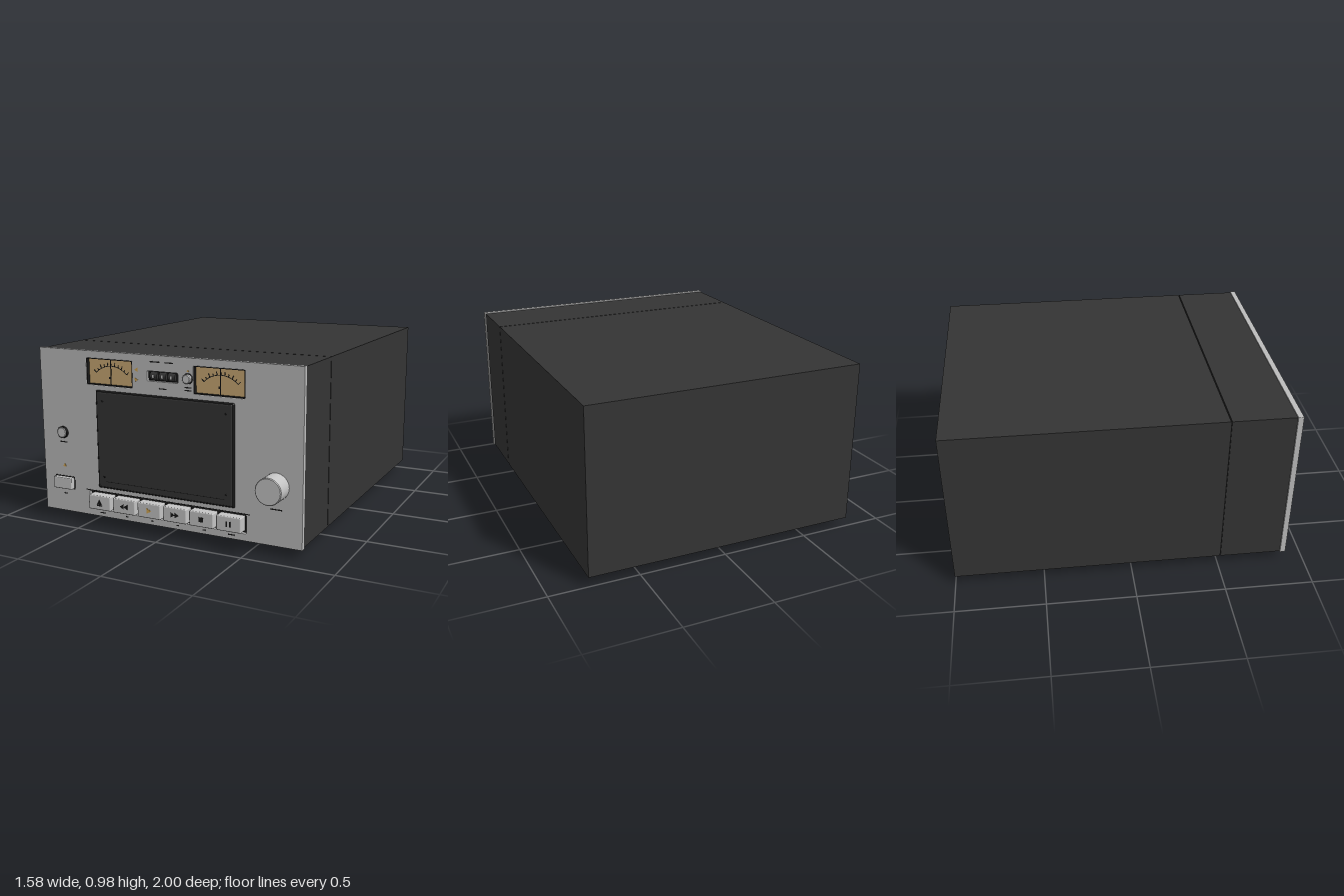
import * as THREE from 'three';
import { RoundedBoxGeometry } from 'three/addons/geometries/RoundedBoxGeometry.js';

const mat = (name, color) => Object.assign(new THREE.MeshStandardMaterial({ color }), { name });

export function createModel() {
  const model = new THREE.Group();
  model.name = 'cassetteDeck';
  const M = {
    charcoal: mat('charcoal casing', 0x343434),
    black: mat('black trim', 0x181818),
    silver: mat('brushed silver', 0xbcbcbc),
    button: mat('light silver', 0xc4c4c4),
    tan: mat('meter tan', 0xc9a974),
    amber: mat('amber', 0xd2a550),
  };
  const FRONT = 0.897; // face of the front panel

  // --- helpers ---
  const add = (name, geo, m, x = 0, y = 0, z = 0, parent = model) => {
    const mesh = new THREE.Mesh(geo, m);
    mesh.name = name;
    mesh.position.set(x, y, z);
    parent.add(mesh);
    return mesh;
  };
  const box = (name, m, x0, x1, y0, y1, z0, z1, parent) =>
    add(name, new THREE.BoxGeometry(x1 - x0, y1 - y0, z1 - z0), m,
      (x0 + x1) / 2, (y0 + y1) / 2, (z0 + z1) / 2, parent);
  const rounded = (name, m, x0, x1, y0, y1, z0, z1, r) =>
    add(name, new RoundedBoxGeometry(x1 - x0, y1 - y0, z1 - z0, 2, r), m,
      (x0 + x1) / 2, (y0 + y1) / 2, (z0 + z1) / 2);
  const rect = (x0, x1, y0, y1, r = 0.006, Kind = THREE.Shape) => {
    const s = new Kind();
    s.moveTo(x0 + r, y0);
    s.lineTo(x1 - r, y0); s.quadraticCurveTo(x1, y0, x1, y0 + r);
    s.lineTo(x1, y1 - r); s.quadraticCurveTo(x1, y1, x1 - r, y1);
    s.lineTo(x0 + r, y1); s.quadraticCurveTo(x0, y1, x0, y1 - r);
    s.lineTo(x0, y0 + r); s.quadraticCurveTo(x0, y0, x0 + r, y0);
    return s;
  };
  const extrude = (shape, depth, bevel = 0) => new THREE.ExtrudeGeometry(shape, {
    depth: depth - bevel, curveSegments: 4, bevelEnabled: bevel > 0, bevelThickness: bevel,
    bevelSize: bevel, bevelOffset: -bevel, bevelSegments: 2,
  });
  // round part turned about z, with a softened front edge
  const dial = (name, m, x, y, r, z0, z1, bevel = 0.004) => {
    const L = z1 - z0;
    const pts = [[0, 0], [r, 0], [r, 0], [r, L - bevel], [r, L - bevel], [r - bevel, L], [r - bevel, L], [0, L]];
    const geo = new THREE.LatheGeometry(pts.map(p => new THREE.Vector2(...p)), 40);
    geo.rotateX(Math.PI / 2);
    return add(name, geo, m, x, y, z0);
  };
  const plate = (name, m, pts, x, y, z) =>
    add(name, extrude(new THREE.Shape(pts.map(p => new THREE.Vector2(...p))), 0.002), m, x, y, z);
  const triangle = (name, m, x, y, z, s, turn = 0) => {
    const t = plate(name, m, [[s, 0], [-s * 0.8, s], [-s * 0.8, -s]], x, y, z);
    t.rotation.z = turn;
    return t;
  };
  const bar = (name, m, x, y, z, w, h) => box(name, m, x - w / 2, x + w / 2, y - h / 2, y + h / 2, z, z + 0.002);

  // --- casing: two sections with a fine groove between ---
  box('rearCasing', M.charcoal, -0.783, 0.783, 0.053, 0.975, -1, 0.51);
  box('casingGroove', M.black, -0.778, 0.778, 0.058, 0.970, 0.505, 0.52);
  box('frontCasing', M.charcoal, -0.783, 0.783, 0.053, 0.975, 0.516, 0.868);

  // --- feet ---
  for (const x of [-0.575, 0.575]) for (const z of [0.587, -0.71]) {
    const pts = [[0, 0], [0.078, 0], [0.085, 0.008], [0.085, 0.008], [0.085, 0.045], [0.08, 0.054], [0, 0.054]];
    add('foot', new THREE.LatheGeometry(pts.map(p => new THREE.Vector2(...p)), 36), M.black, x, 0, z);
  }

  // --- front panel with openings for meters, counter and keys ---
  const meters = [[-0.478, -0.186], [0.182, 0.474]];
  const counter = [-0.094, 0.09, 0.843, 0.895];
  const keySlot = [-0.486, 0.481, 0.09, 0.19];
  const panel = rect(-0.79, 0.79, 0.05, 0.98, 0.004);
  for (const [a, b] of meters) panel.holes.push(rect(a, b, 0.795, 0.94, 0.008, THREE.Path));
  panel.holes.push(rect(...counter, 0.006, THREE.Path), rect(...keySlot, 0.006, THREE.Path));
  add('frontPanel', extrude(panel, FRONT - 0.868, 0.003), M.silver, 0, 0, 0.868);

  // --- level meters: dark liner, tan dial, scale and needle ---
  for (const [a, b] of meters) {
    const cx = (a + b) / 2, z = 0.874, R = 0.1376, cy = 0.762, half = 0.78;
    const liner = rect(a, b, 0.795, 0.94, 0.008);
    liner.holes.push(rect(a + 0.004, b - 0.004, 0.799, 0.936, 0.006, THREE.Path));
    add('meterLiner', extrude(liner, 0.028), M.black, 0, 0, 0.868);
    box('meterDial', M.tan, a + 0.002, b - 0.002, 0.797, 0.938, 0.867, z);
    add('meterArc', new THREE.RingGeometry(R - 0.002, R + 0.002, 32, 1, Math.PI / 2 - half, 2 * half),
      M.black, cx, cy, z + 0.001);
    for (let i = 0; i <= 10; i++) {
      const t = half * (1 - i / 5), len = i % 2 ? 0.013 : 0.02, r = R + len / 2;
      const tick = bar('meterTick', M.black, cx - Math.sin(t) * r, cy + Math.cos(t) * r, z, 0.004, len);
      tick.rotation.z = t;
    }
    bar('meterNeedle', M.black, cx, 0.868, z + 0.004, 0.005, 0.138);
    bar('meterMark', M.black, cx - 0.008, 0.835, z, 0.012, 0.012);
  }

  // --- tape counter with three wheels ---
  box('counterRecess', M.black, -0.094, 0.09, 0.843, 0.895, 0.867, 0.88);
  for (let i = -1; i <= 1; i++) {
    const x = -0.002 + i * 0.054;
    const wheel = add('counterWheel', new THREE.CylinderGeometry(0.022, 0.022, 0.042, 24), M.charcoal, x, 0.869, 0.876);
    wheel.rotation.z = Math.PI / 2;
    bar('counterMark', M.button, x, 0.869, 0.898, 0.008, 0.016);
  }
  dial('counterResetRim', M.black, 0.151, 0.872, 0.028, 0.89, 0.901, 0.002);
  dial('counterReset', M.button, 0.151, 0.872, 0.024, 0.89, 0.92);

  // --- cassette door ---
  rounded('doorFrame', M.black, -0.42, 0.417, 0.22, 0.768, 0.88, 0.905, 0.008);
  rounded('doorPanel', M.charcoal, -0.411, 0.408, 0.229, 0.76, 0.885, 0.911, 0.006);
  bar('doorLip', M.black, -0.0015, 0.262, 0.9095, 0.73, 0.003);
  for (const x of [-0.374, 0.371]) for (const y of [0.288, 0.71])
    dial('doorScrew', M.black, x, y, 0.006, 0.905, 0.912, 0.001);

  // --- transport keys ---
  box('keyRecess', M.black, ...keySlot, 0.867, 0.876);
  bar('keyTrimLine', M.black, -0.002, 0.196, FRONT - 0.001, 1.01, 0.005);
  const KEY = 0.932, keyY = 0.14;
  for (let i = 0; i < 6; i++) {
    const x = -0.4 + i * 0.159;
    rounded('transportKey', M.button, x - 0.071, x + 0.071, 0.099, 0.181, 0.872, KEY, 0.006);
    bar('keyLabel', M.black, x, 0.073, FRONT - 0.001, i === 0 || i === 5 ? 0.036 : 0.015, 0.006);
    if (i === 0) {
      triangle('ejectIcon', M.black, x, keyY + 0.003, KEY, 0.016, Math.PI / 2);
      bar('ejectIconBar', M.black, x, keyY - 0.015, KEY, 0.032, 0.006);
    } else if (i === 1 || i === 3) {
      for (const d of [-0.011, 0.013]) triangle('windIcon', M.black, x + d, keyY, KEY, 0.014, i === 1 ? Math.PI : 0);
    } else if (i === 2) triangle('playIcon', M.amber, x, keyY, KEY, 0.016);
    else if (i === 4) bar('stopIcon', M.black, x, keyY, KEY, 0.026, 0.026);
    else for (const d of [-0.009, 0.009]) bar('pauseIcon', M.black, x + d, keyY, KEY, 0.007, 0.028);
  }

  // --- side controls ---
  dial('volumeKnob', M.button, 0.645, 0.365, 0.071, 0.88, 1.0, 0.004);
  dial('jackRim', M.black, -0.65, 0.51, 0.033, 0.88, 0.912, 0.002);
  dial('jackCap', M.button, -0.65, 0.51, 0.029, 0.88, 0.916, 0.003);
  box('powerButtonRim', M.black, -0.716, -0.584, 0.184, 0.257, 0.88, 0.9);
  rounded('powerButton', M.button, -0.712, -0.588, 0.188, 0.253, 0.88, 0.928, 0.005);

  // --- amber indicators and small printed dashes ---
  triangle('powerIndicator', M.amber, -0.65, 0.32, FRONT, 0.011, Math.PI / 2);
  triangle('directionIndicator', M.amber, -0.16, 0.897, FRONT, 0.012, Math.PI);
  triangle('directionIndicator', M.amber, -0.16, 0.843, FRONT, 0.011);
  triangle('resetIndicator', M.amber, 0.151, 0.912, FRONT, 0.006, Math.PI / 2);
  for (const [x, y, w] of [[-0.045, 0.945, 0.06], [0.04, 0.945, 0.05], [0, 0.806, 0.045], [0.151, 0.825, 0.04],
    [0.151, 0.81, 0.04], [-0.65, 0.454, 0.05], [-0.65, 0.154, 0.024], [0.645, 0.245, 0.065]])
    bar('printedDash', M.black, x, y, FRONT - 0.001, w, 0.006);

  return model;
}
